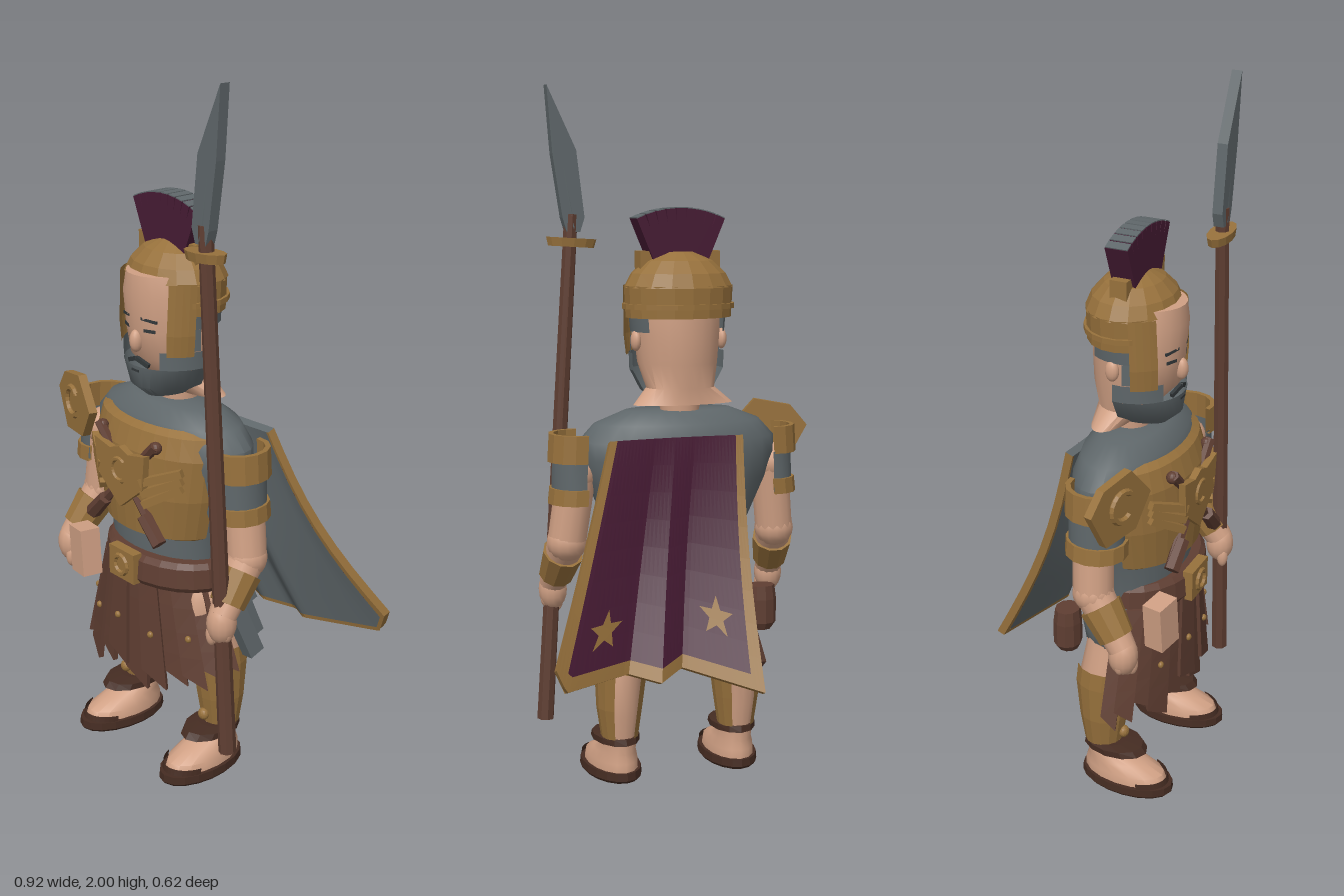
import * as THREE from 'three';
import { toCreasedNormals } from 'three/addons/utils/BufferGeometryUtils.js';

const mat = (name, color, flat) => new THREE.MeshStandardMaterial({ name, color, flatShading: flat, side: THREE.DoubleSide });

export function createModel() {
  const root = new THREE.Group();
  const gold = mat('bronze', 0x97713c, true), grey = mat('grey cloth', 0x5f676a, false);
  const skin = mat('skin', 0xd0a084, false);
  const brown = mat('leather', 0x5f3e32, true), dark = mat('dark leather', 0x452c22, true);
  const maroon = mat('maroon', 0x471b34, true), hair = mat('dark hair', 0x33383a, true);
  const CX = -0.02;

  function add(name, geo, m, pos = [0, 0, 0], rot = [0, 0, 0], parent = root) {
    const mesh = new THREE.Mesh(geo, m);
    mesh.name = name;
    mesh.position.set(...pos);
    mesh.rotation.set(...rot);
    parent.add(mesh);
    return mesh;
  }
  const box = (name, m, size, pos, rot) => add(name, new THREE.BoxGeometry(...size), m, pos, rot);
  const ball = (name, m, size, pos) => {
    const b = add(name, new THREE.SphereGeometry(1, 14, 10), m, pos);
    b.scale.set(...size);
    return b;
  };

  // Grid surface from f(s, t) -> [x, y, z]
  function patch(f, ns, nt) {
    const pos = [], idx = [], w = ns + 1;
    for (let j = 0; j <= nt; j++) for (let i = 0; i <= ns; i++) pos.push(...f(i / ns, j / nt));
    for (let j = 0; j < nt; j++) for (let i = 0; i < ns; i++) {
      const a = j * w + i;
      idx.push(a, a + 1, a + w, a + 1, a + w + 1, a + w);
    }
    const g = new THREE.BufferGeometry();
    g.setAttribute('position', new THREE.Float32BufferAttribute(pos, 3));
    g.setIndex(idx);
    g.computeVertexNormals();
    return g;
  }
  // Elliptical rings [y, cx, cz, rx, rz]; angle 0 faces front
  function loft(name, m, rings, sides = 20, a0 = 0, a1 = Math.PI * 2, cap = a1 - a0 > 6, parent = root) {
    const r = cap ? [[...rings[0].slice(0, 3), 0, 0], ...rings, [...rings.at(-1).slice(0, 3), 0, 0]] : rings;
    const g = patch((s, t) => {
      const [y, x, z, rx, rz] = r[Math.round(t * (r.length - 1))], a = a0 + s * (a1 - a0);
      return [x + rx * Math.sin(a), y, z + rz * Math.cos(a)];
    }, sides, r.length - 1);
    return add(name, toCreasedNormals(g, 0.8), m, [0, 0, 0], [0, 0, 0], parent);
  }
  // Tapered cylinder from p to q
  function limb(name, m, p, q, r0, r1, sides = 14) {
    const a = new THREE.Vector3(...p), b = new THREE.Vector3(...q), d = b.clone().sub(a);
    const mesh = add(name, new THREE.CylinderGeometry(r1, r0, d.length(), sides), m);
    mesh.position.copy(a).addScaledVector(d, 0.5);
    mesh.quaternion.setFromUnitVectors(new THREE.Vector3(0, 1, 0), d.normalize());
    return mesh;
  }
  const plate = (name, m, pts, depth, pos, rot) => add(name, new THREE.ExtrudeGeometry(
    new THREE.Shape(pts.map(p => new THREE.Vector2(...p))), { depth, bevelEnabled: false }), m, pos, rot);

  // Torso, cuirass, belt and hips
  loft('tunic', grey, [[.6, CX, .12, .2, .125], [.75, CX, .115, .215, .135], [.88, CX, .1, .27, .137],
    [.95, CX, .1, .295, .14], [1.0, CX, .1, .297, .135], [1.05, CX, .1, .25, .12], [1.085, CX, .1, .16, .08]], 28);
  loft('breastplate', gold, [[.72, CX, .12, .2, .13], [.73, CX, .13, .205, .145], [.85, CX, .13, .235, .155],
    [.97, CX, .13, .25, .145], [1.03, CX, .125, .24, .13], [1.045, CX, .12, .21, .115]], 14, -1.4, 1.4);
  loft('belt', brown, [[.58, CX + .02, .13, .215, .15], [.595, CX + .02, .13, .225, .16], [.65, CX + .02, .13, .22, .155],
    [.665, CX + .02, .13, .21, .14]], 24);
  loft('shorts', grey, [[.38, CX, .1, .14, .09], [.42, CX, .1, .2, .125], [.5, CX, .105, .222, .14], [.6, CX, .12, .212, .14]], 24);
  ball('hip', skin, [.105, .15, .12], [.125, .5, .108]);
  box('buckle', gold, [.11, .09, .03], [-.015, .625, .285]);
  add('buckleRing', new THREE.TorusGeometry(.027, .008, 6, 12), gold, [-.015, .625, .302]);

  // Chest ornament: shield over two crossed clubs
  plate('chestShield', gold, [[-.11, .08], [-.04, .065], [0, .08], [.04, .065], [.11, .08], [.1, -.02], [0, -.1], [-.1, -.02]],
    .02, [CX, .9, .277]);
  add('shieldCrescent', new THREE.TorusGeometry(.032, .007, 6, 14, 4.4), gold, [CX, .91, .297], [0, 0, .9]);
  for (const s of [-1, 1]) {
    limb('crossedClub', brown, [CX + s * .145, .735, .272], [CX - s * .125, 1.01, .268], .016, .015, 6);
    limb('clubHead', brown, [CX + s * .15, .73, .278], [CX + s * .085, .795, .282], .023, .02, 6);
    ball('clubKnob', brown, [.018, .018, .018], [CX + s * .118, 1.0, .262]);
    for (let i = 0; i < 3; i++)
      box('featherBar', gold, [.13, .022, .02], [CX + s * .14, .92 - i * .028, .262 - i * .002], [0, s * .5, s * (.35 + i * .08)]);
  }

  // Leather strip skirt across the front
  const N = 12;
  for (let i = 0; i < N; i++) {
    const a = -1.4 + 2.8 * i / (N - 1), low = .27 + (i % 3) * .025 + (i > 8 ? .05 : 0), lift = (i % 2) * .009;
    const at = (b, v, d) => [CX + Math.sin(b) * (.2 + .1 * v + d), .6 + (low - .6) * v, .13 + Math.cos(b) * (.135 + .01 * v + d)];
    const g = new THREE.BoxGeometry(1, 1, 1, 1, 4, 1), p = g.attributes.position;
    for (let k = 0; k < p.count; k++) {
      const v = .5 - p.getY(k), s = p.getX(k);
      p.setXYZ(k, ...at(a + s * .3, v + (v > .9 ? s * .12 : 0), lift + p.getZ(k) * .014));
    }
    g.computeVertexNormals();
    add('skirtStrip', g, brown);
    if (i % 2) ball('skirtStud', gold, [.01, .01, .008], at(a, .55, lift + .008));
  }

  // Legs and sandals
  for (const [x, s] of [[-.2, -1], [.165, 1]]) {
    const hx = x * .72 - .01;
    loft('leg', skin, [[.1, x, .085, .045, .045], [.2, x, .085, .06, .062], [.34, x - s * .005, .085, .068, .075],
      [.43, hx, .095, .078, .08], [.56, hx, .11, .07, .08]], 16);
    loft('greave', gold, [[.13, x, .085, .055, .055], [.22, x, .085, .068, .07], [.33, x - s * .005, .085, .077, .084],
      [.385, x - s * .01, .09, .078, .085]], 12, -2.6, 2.6);
    ball('greaveBoss', gold, [.018, .018, .015], [x, .165, .15]);
    const foot = new THREE.Group();
    foot.name = 'foot';
    foot.position.set(x, 0, .09);
    foot.rotation.y = s * .05;
    root.add(foot);
    loft('sole', dark, [[0, 0, .075, .076, .138], [.008, 0, .075, .082, .145], [.03, 0, .075, .08, .143]], 18, 0, Math.PI * 2, true, foot);
    loft('footSkin', skin, [[.03, 0, .07, .07, .13], [.055, 0, .065, .068, .125], [.08, 0, .04, .058, .09],
      [.11, 0, 0, .05, .055], [.15, 0, 0, .048, .048]], 16, 0, Math.PI * 2, true, foot);
    loft('toeStrap', dark, [[.03, 0, .1, .074, .105], [.048, 0, .1, .074, .1]], 16, -1.2, 1.2, false, foot);
    loft('ankleStrap', dark, [[.11, 0, .02, .05, .07], [.112, 0, .035, .067, .1], [.13, 0, .03, .067, .09], [.135, 0, .01, .05, .06]], 12, 0, Math.PI * 2, true, foot);
  }

  // Arms inside open, banded sleeves, with bracers
  for (const [s, x, ex, hx] of [[-1, -.315, -.335, -.36], [1, .282, .31, .325]]) {
    const elbow = [ex, .71, .12], hand = [hx, .57, .22], mid = t => elbow.map((e, i) => e + (hand[i] - e) * t);
    const out = s > 0 ? [-.3, 3.3] : [-3.3, .3];
    loft('sleeve', grey, [[.83, x, .12, .07, .078], [.95, x - s * .004, .12, .07, .078]], 10, ...out, false);
    for (const [y0, y1] of [[.825, .87], [.945, 1.025]])
      loft('sleeveBand', gold, [[y0, x, .12, .068, .074], [y0, x, .12, .081, .088], [y1, x - s * .004, .12, .08, .087],
        [y1, x - s * .004, .12, .066, .072], [y0, x, .12, .068, .074]], 8, ...out, false);
    ball('shoulder', skin, [.06, .06, .065], [x, .91, .115]);
    limb('upperArm', skin, [x, .91, .11], elbow, .057, .056);
    ball('elbow', skin, [.058, .058, .058], elbow);
    limb('forearm', skin, elbow, hand, .055, .04);
    limb('bracer', gold, mid(.25), mid(.8), .06, .05, 10);
    ball('hand', skin, [.042, .06, .042], [hx, .55, .222]);
    for (let i = 0; i < 4; i++) ball('finger', skin, [.016, .034, .017], [hx - s * .02 + s * i * .014, .515 + i * .006, .24 - i * .006]);
  }
  // Angular shoulder guard
  plate('shoulderGuard', gold, [[-.12, .01], [-.07, .07], [.04, .09], [.12, 0], [.06, -.09], [-.06, -.1]], .025, [-.34, 1, .185], [0, -.26, 0]);
  add('guardCrescent', new THREE.TorusGeometry(.042, .01, 6, 14, 4.6), gold, [-.347, 1, .213], [0, -.26, .8]);

  // Head and face
  loft('neck', skin, [[1.06, CX, .08, .055, .055], [1.14, CX, .08, .06, .06]]);
  loft('head', skin, [[1.105, CX, .05, .15, .055], [1.15, CX, .075, .1, .08], [1.22, CX, .1, .115, .12],
    [1.3, CX, .105, .123, .128], [1.4, CX, .107, .126, .135], [1.455, CX, .107, .11, .13]], 24);
  loft('beard', grey, [[1.105, CX, .1, .05, .09], [1.14, CX, .1, .105, .13], [1.2, CX, .1, .138, .137]], 16, -1.65, 1.65);
  for (const s of [-1, 1]) {
    const arc = (a, b) => s > 0 ? [a, b] : [-b, -a];
    loft('sideBeard', grey, [[1.2, CX, .1, .138, .137], [1.25, CX, .1, .14, .137]], 6, ...arc(.6, 1.65));
    loft('sideburn', grey, [[1.25, CX, .1, .136, .13], [1.31, CX, .1, .136, .13]], 4, ...arc(1.15, 1.45));
    loft('templeHair', grey, [[1.31, CX, .1, .136, .13], [1.355, CX, .1, .14, .13]], 6, ...arc(1.15, 2.2));
    loft('cheekGuard', gold, [[1.24, CX, .1, .148, .14], [1.3, CX, .1, .155, .143], [1.44, CX, .095, .158, .14]], 4, ...arc(.72, 1.25));
    ball('ear', skin, [.015, .03, .02], [CX + s * .13, 1.285, .085]);
    box('eyebrow', hair, [.05, .008, .008], [CX + s * .047, 1.335, .222], [0, s * .35, -s * .12]);
    box('eye', hair, [.036, .009, .008], [CX + s * .047, 1.305, .22], [0, s * .35, 0]);
    box('moustache', hair, [.045, .012, .01], [CX + s * .021, 1.212, .225], [0, s * .2, -s * .35]);
  }
  ball('nose', skin, [.018, .032, .02], [CX, 1.27, .23]);
  box('mouth', hair, [.03, .006, .006], [CX, 1.187, .234]);

  // Helmet with fan crest
  loft('helmetSkirt', gold, [[1.35, CX, .09, .155, .122], [1.44, CX, .09, .16, .125]], 14, .78, Math.PI * 2 - .78, false);
  loft('helmetBowl', gold, [[1.435, CX, .09, .16, .128], [1.475, CX, .09, .138, .112], [1.51, CX, .09, .1, .08], [1.535, CX, .09, .045, .04]], 16);
  loft('helmetRim', gold, [[1.375, CX, .09, .155, .122], [1.375, CX, .09, .165, .131], [1.39, CX, .09, .165, .131], [1.39, CX, .09, .155, .122]], 16, .85, Math.PI * 2 - .85, false);
  box('crestHolder', gold, [.24, .065, .05], [CX, 1.505, .097]);
  for (let i = -4; i <= 4; i++) {
    const a = i * .1, c = r => [CX + Math.sin(a) * r, 1.35 + Math.cos(a) * r, .097];
    box('crestPlume', maroon, [.027, .13, .066], c(.242), [0, 0, -a]);
    box('crestTip', grey, [.025, .004, .064], c(.308), [0, 0, -a]);
  }

  // Spear
  limb('spearShaft', brown, [.352, .16, .222], [.258, 1.64, .222], .025, .02, 8);
  const guard = add('spearGuard', new THREE.CylinderGeometry(.075, .068, .025, 12), gold, [.258, 1.56, .222], [0, 0, .06]);
  guard.scale.z = .45;
  plate('spearBlade', grey, [[.235, 1.59], [.275, 1.59], [.287, 1.63], [.315, 1.81], [.33, 2], [.245, 1.82], [.222, 1.63]], .03, [0, 0, .207]);
  limb('bladeRidge', grey, [.255, 1.6, .222], [.3, 1.88, .222], .02, .012, 4);

  // Pouches and dagger on the belt
  loft('backPouch', brown, [[.44, -.24, -.01, .03, .03], [.46, -.24, -.01, .045, .04], [.53, -.24, -.01, .045, .04], [.57, -.24, -.01, .04, .035]], 10);
  box('frontPouch', skin, [.08, .14, .06], [-.222, .59, .272], [0, -.2, .1]);
  box('scabbard', grey, [.04, .19, .05], [.26, .47, .09], [.35, 0, .15]);
  box('scabbardMouth', grey, [.055, .035, .075], [.25, .555, .09], [.35, 0, .15]);
  box('secondScabbard', grey, [.035, .13, .04], [.245, .49, .055], [.35, 0, .1]);

  // Swept cape: maroon outside, grey lining, bronze trim
  const hem = [[0, -.13, .34, -.31], [.35, .07, .4, -.19], [.5, .15, .38, -.25], [.65, .23, .4, -.2], [.93, .435, .4, -.31], [1, .46, .46, -.3]];
  function cape(u, v, off = 0) {
    let k = 0;
    while (k < hem.length - 2 && u > hem[k + 1][0]) k++;
    const h0 = hem[k], h1 = hem[k + 1], f = (u - h0[0]) / (h1[0] - h0[0]);
    const end = [1, 2, 3].map(i => h0[i] + (h1[i] - h0[i]) * f);
    const top = [-.165 + .395 * u, 1.02, -.05 + .012 * Math.sin(u * Math.PI)];
    const p = top.map((t, i) => t + (end[i] - t) * v);
    return [p[0] - .015 * u * Math.sin(v * Math.PI), p[1] - off * .4, p[2] + .032 * Math.sin(v * Math.PI) + off];
  }
  const panel = (name, m, u0, u1, v0, v1, off = 0) =>
    add(name, patch((s, t) => cape(u0 + (u1 - u0) * s, v0 + (v1 - v0) * t, off), Math.ceil((u1 - u0) * 40), 8), m);
  for (const [off, w, name, m] of [[0, .055, 'capeOutside', maroon], [.022, .02, 'capeLining', grey]]) {
    panel(name, m, w, 1 - w, 0, 1 - w, off);
    panel('capeTrim', gold, 0, w, 0, 1, off);
    panel('capeTrim', gold, 1 - w, 1, 0, 1, off);
    panel('capeTrim', gold, w, 1 - w, 1 - w, 1, off);
  }
  for (const u of [0, 1]) add('capeEdge', patch((s, t) => cape(u, t, s * .022), 1, 8), gold);
  add('capeHem', patch((s, t) => cape(s, 1, t * .022), 40, 1), gold);
  add('capeCollar', patch((s, t) => cape(s, 0, t * .022), 40, 1), grey);
  for (const [u, v] of [[.2, .76], [.8, .8]]) {
    const pts = Array.from({ length: 10 }, (_, i) => new THREE.Vector2(
      Math.sin(i * Math.PI / 5) * (i % 2 ? .035 : .085), Math.cos(i * Math.PI / 5) * (i % 2 ? .035 : .085)));
    const g = new THREE.ShapeGeometry(new THREE.Shape(pts)), p = g.attributes.position;
    for (let i = 0; i < p.count; i++) p.setXYZ(i, ...cape(u + p.getX(i), v - p.getY(i), -.007));
    g.computeVertexNormals();
    add('capeStar', g, gold);
  }
  return root;
}
